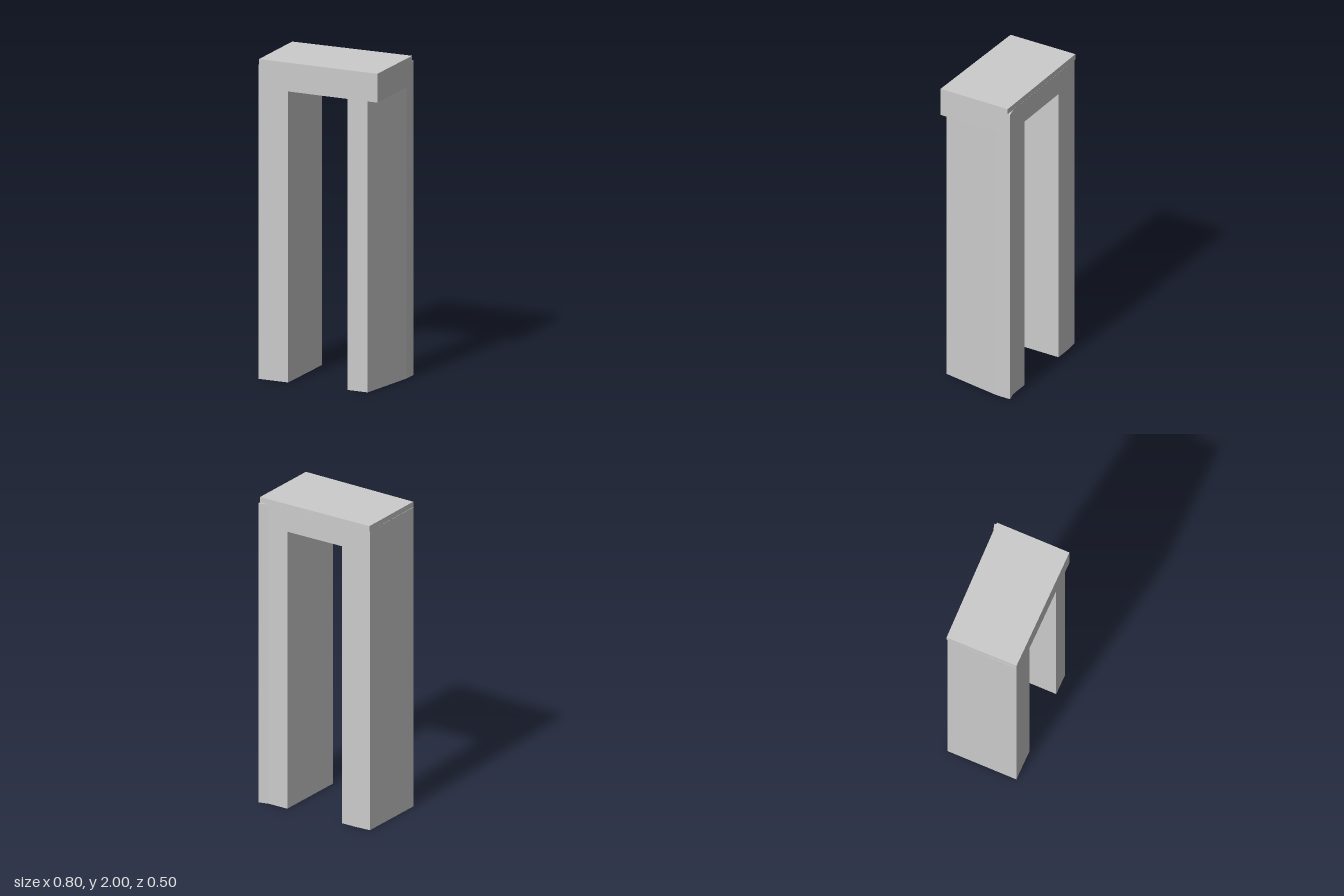
import * as THREE from 'three';

const material = new THREE.MeshStandardMaterial({ color: 0xcccccc, flatShading: true });

// Upright prism from a plan outline of [x, z] corners
function prism(name, plan, bottom, top) {
  const shape = new THREE.Shape(plan.map(([x, z]) => new THREE.Vector2(x, -z)));
  const geometry = new THREE.ExtrudeGeometry(shape, { depth: top - bottom, bevelEnabled: false });
  geometry.rotateX(-Math.PI / 2);
  geometry.translate(0, bottom, 0);
  const mesh = new THREE.Mesh(geometry, material);
  mesh.name = name;
  return mesh;
}

export function createModel() {
  const group = new THREE.Group();
  group.name = 'archway';
  const springY = 1.82, capY = 1.965, topY = 2, front = 0.248;

  // Back edge shared by legs and lintel: shallow bend on one side, flared corner on the other
  const backRight = [[-0.4, -0.208], [-0.3, -0.216]];
  const backLeft = [[0.335, -0.23], [0.4, -0.248]];

  // Left leg, its outer face tapering inwards to the front
  group.add(prism('leftLeg',
    [[0.2, front], [0.335, front], [0.4, -0.15], backLeft[1], backLeft[0], [0.2, -0.227]], 0, springY));

  // Right leg
  group.add(prism('rightLeg',
    [[-0.4, front], [-0.2, front], [-0.2, -0.218], backRight[1], backRight[0]], 0, springY));

  // Lintel, overhanging the tapered leg
  group.add(prism('lintel',
    [[-0.4, front], [0.4, front], backLeft[1], backLeft[0], backRight[1], backRight[0]], springY, capY));

  // Thin cap with a straight back edge
  group.add(prism('cap',
    [[-0.397, front], [0.4, front], [0.4, -0.231], [-0.4, -0.213]], capY, topY));

  return group;
}
